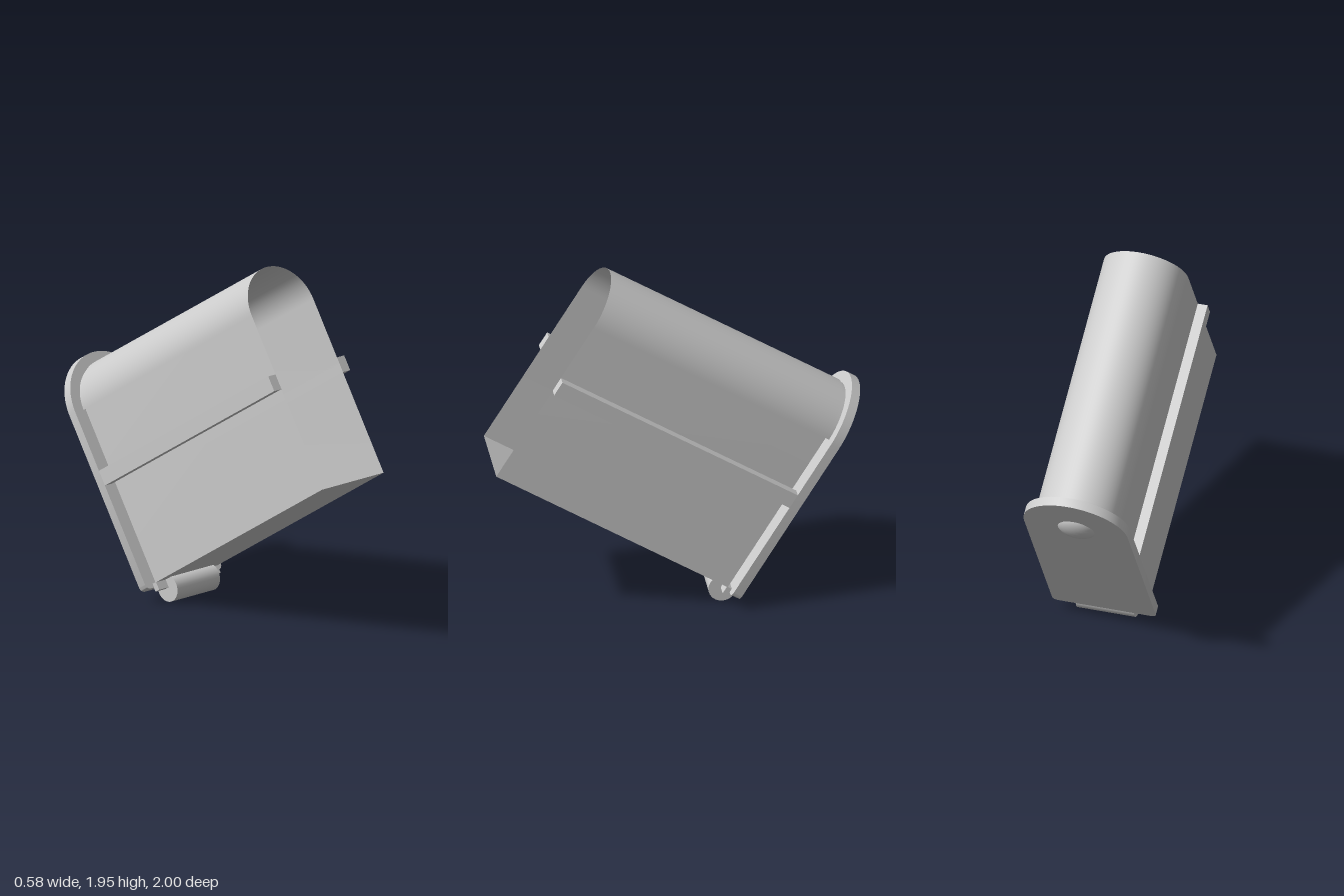
import * as THREE from 'three';
import { toCreasedNormals } from 'three/addons/utils/BufferGeometryUtils.js';

// Local frame: y up the back plate, z along the trough, open end at z = 0
const HALF = 0.235, SPRING = 1.013, LEN = 1.47;
const PLATE_HALF = 0.29, PLATE_BACK = -1.547, PLATE_FRONT = -1.495;

const grey = new THREE.MeshStandardMaterial({ color: 0xcccccc });
const greyThin = new THREE.MeshStandardMaterial({ color: 0xcccccc, side: THREE.DoubleSide });

function add(group, name, geometry, x = 0, y = 0, z = 0, material = grey) {
  const mesh = new THREE.Mesh(geometry, material);
  mesh.name = name;
  mesh.position.set(x, y, z);
  group.add(mesh);
  return mesh;
}

// Thin round-topped sleeve, open at both ends
function sleeveGeometry() {
  const profile = [[-HALF, 0], [HALF, 0]];
  const arc = 32;
  for (let i = 0; i <= arc; i++) {
    const a = (i / arc) * Math.PI;
    profile.push([HALF * Math.cos(a), SPRING + HALF * Math.sin(a)]);
  }
  profile.push([-HALF, 0]);
  const n = profile.length - 1;
  const geo = new THREE.PlaneGeometry(1, 1, n, 1);
  const pos = geo.attributes.position;
  for (let i = 0; i < pos.count; i++) {
    const [x, y] = profile[i % (n + 1)];
    pos.setXYZ(i, x, y, i > n ? 0 : -LEN);
  }
  return toCreasedNormals(geo, 0.5);
}

// Round-topped plate with small rounded lower corners
function plateGeometry() {
  const b = -0.02, r = 0.03, w = PLATE_HALF;
  const shape = new THREE.Shape();
  shape.moveTo(-w + r, b);
  shape.lineTo(w - r, b);
  shape.absarc(w - r, b + r, r, -Math.PI / 2, 0);
  shape.lineTo(w, SPRING);
  shape.absarc(0, SPRING, w, 0, Math.PI);
  shape.lineTo(-w, b + r);
  shape.absarc(-w + r, b + r, r, Math.PI, Math.PI * 1.5);
  const geo = new THREE.ExtrudeGeometry(shape, {
    depth: PLATE_FRONT - PLATE_BACK, bevelEnabled: false, curveSegments: 24,
  });
  return toCreasedNormals(geo, 0.5);
}

// Half ring that locates the sleeve on the plate
function lipGeometry() {
  const shape = new THREE.Shape();
  shape.absarc(0, 0, 0.226, 0, Math.PI);
  shape.absarc(0, 0, 0.212, Math.PI, 0, true);
  const geo = new THREE.ExtrudeGeometry(shape, {
    depth: 0.035, bevelEnabled: false, curveSegments: 24,
  });
  return toCreasedNormals(geo, 0.5);
}

export function createModel() {
  const model = new THREE.Group();
  model.name = 'tiltedHolder';

  const body = new THREE.Group();
  body.name = 'body';
  body.rotation.x = THREE.MathUtils.degToRad(-31.47);
  body.position.set(0, 0.885, 1);
  model.add(body);

  add(body, 'sleeve', sleeveGeometry(), 0, 0, 0, greyThin);
  add(body, 'backPlate', plateGeometry(), 0, 0, PLATE_BACK);
  add(body, 'locatingLip', lipGeometry(), 0, SPRING, PLATE_FRONT);

  // Side rails running from the plate to the open end
  const railWidth = PLATE_HALF - HALF;
  for (const [side, name] of [[1, 'leftRail'], [-1, 'rightRail']]) {
    add(body, name, new THREE.BoxGeometry(railWidth, 0.086, -PLATE_FRONT),
      side * (HALF + railWidth / 2), 0.629, PLATE_FRONT / 2);
  }

  // Shallow button through the plate
  const button = add(body, 'button', new THREE.SphereGeometry(0.115, 24, 16), 0, 1.005, -1.52);
  button.scale.z = 0.52;

  // Hinge at the foot of the plate
  add(body, 'hingeLeaf', new THREE.BoxGeometry(HALF * 2, 0.046, 0.032), 0, -0.021, -1.481);
  const barrel = add(body, 'hingeBarrel',
    new THREE.CylinderGeometry(0.075, 0.075, 0.325, 32), 0, -0.046, -1.476);
  barrel.rotation.z = Math.PI / 2;

  return model;
}
